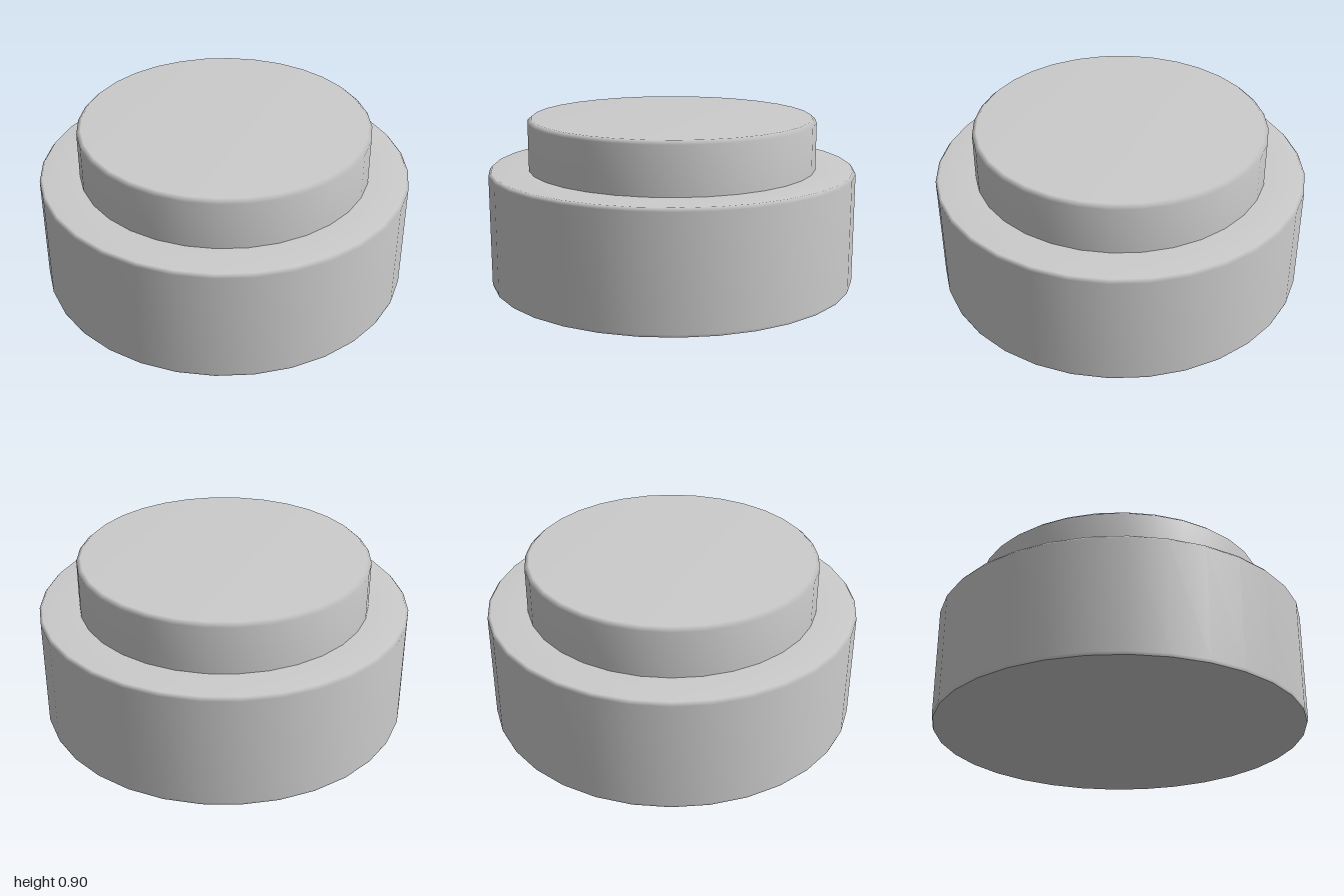
import * as THREE from 'three';

const SIDES = 32;

// Smooth-shaded turned part from [radius, height] pairs, listed bottom to top
function turned(name, profile, material) {
  const points = profile.map(([r, y]) => new THREE.Vector2(r, y));
  const mesh = new THREE.Mesh(new THREE.LatheGeometry(points, SIDES), material);
  mesh.name = name;
  return mesh;
}

export function createModel() {
  const group = new THREE.Group();
  group.name = 'steppedRoundButton';
  const grey = new THREE.MeshStandardMaterial({ color: 0xcccccc });

  // Wide lower body: wall, small bevel and the shelf around the cap
  group.add(turned('base', [
    [0.995, 0], [1, 0.015], [1, 0.612], [0.985, 0.63], [0.785, 0.63],
  ], grey));

  // Narrower raised cap with a softened rim and flat top
  group.add(turned('cap', [
    [0.785, 0.63], [0.785, 0.885], [0.762, 0.905], [0, 0.905],
  ], grey));

  // Flat underside
  const underside = new THREE.Mesh(new THREE.CircleGeometry(0.995, SIDES), grey);
  underside.name = 'underside';
  underside.rotation.x = Math.PI / 2;
  group.add(underside);

  return group;
}
